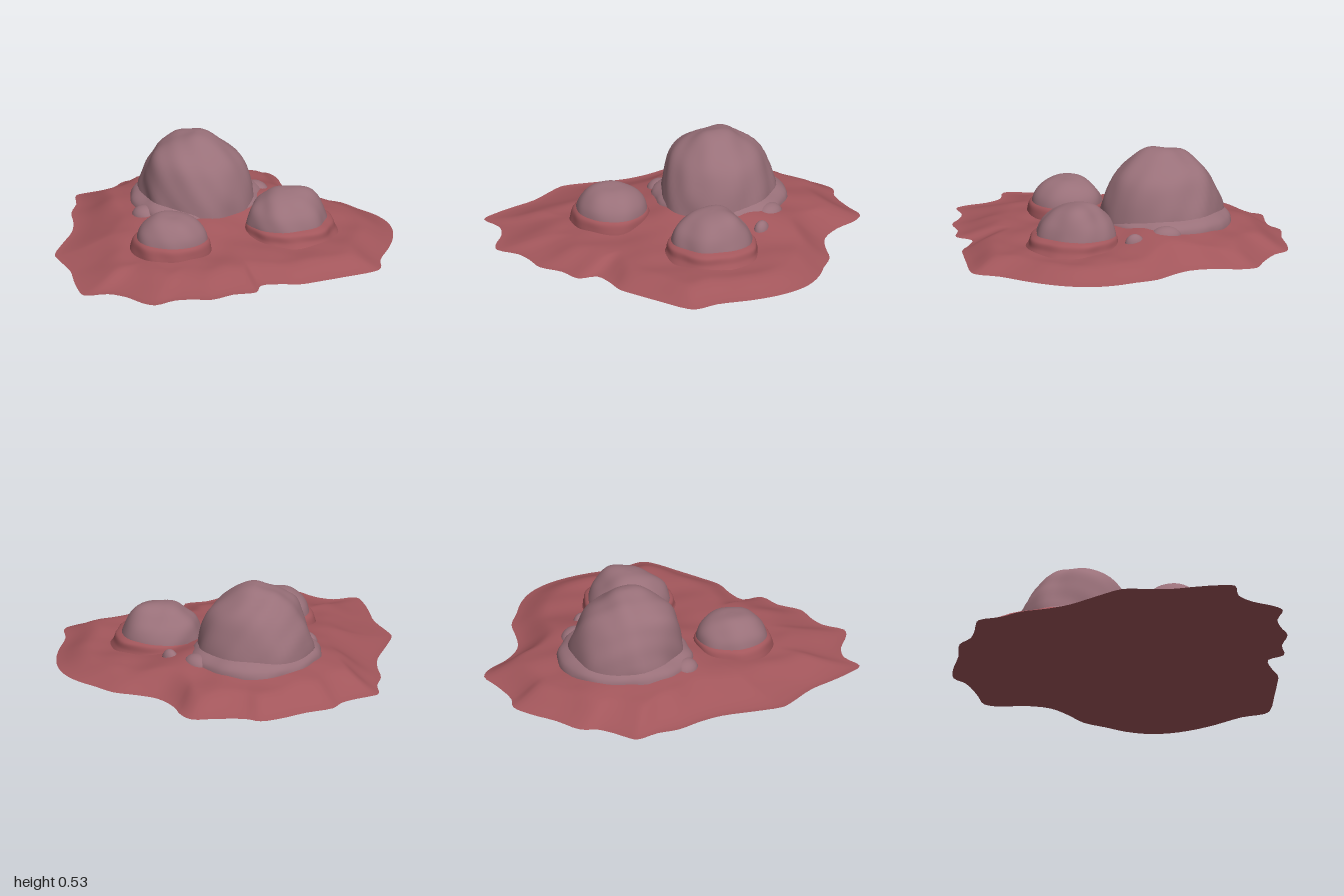
import * as THREE from 'three';
import { mergeVertices } from 'three/addons/utils/BufferGeometryUtils.js';

const red = new THREE.MeshStandardMaterial({ color: 0xa2565b });
red.name = 'raw red';
const mauve = new THREE.MeshStandardMaterial({ color: 0x997079 });
mauve.name = 'dull mauve';

// Ragged rim of the patch, as x, z pairs
const RIM = [
  0.09, -0.93, 0.25, -0.9, 0.42, -0.89, 0.53, -0.86, 0.58, -0.78, 0.72, -0.68, 0.82, -0.62,
  0.83, -0.53, 0.79, -0.4, 0.79, -0.25, 0.85, -0.14, 0.93, -0.03, 0.96, 0.1, 0.99, 0.22,
  0.99, 0.35, 0.95, 0.47, 0.88, 0.58, 0.79, 0.68, 0.66, 0.8, 0.59, 0.91, 0.54, 0.93,
  0.35, 0.91, 0.2, 0.89, 0.09, 0.87, 0, 0.81, -0.1, 0.77, -0.18, 0.84, -0.3, 0.8,
  -0.44, 0.8, -0.53, 0.74, -0.62, 0.7, -0.75, 0.7, -0.79, 0.64, -0.82, 0.51, -0.88, 0.42,
  -1, 0.37, -0.98, 0.27, -0.93, 0.15, -0.87, 0.02, -0.83, -0.18, -0.81, -0.23, -0.69, -0.34,
  -0.55, -0.46, -0.47, -0.57, -0.4, -0.7, -0.31, -0.79, -0.24, -0.9, -0.17, -0.9, -0.1, -0.89, 0, -0.89,
];

const bell = (d, r) => Math.exp(-(d * d) / (r * r));
const ripple = (x, y, z) =>
  Math.sin(17 * x + 9 * z + 1) * Math.sin(15 * z - 7 * x + 11 * y) +
  0.5 * Math.sin(31 * x + 2 + 13 * y) * Math.sin(29 * z + 19 * y);

// Height of the patch at a point that lies d inside the rim
function patchHeight(x, z, d) {
  const rise = THREE.MathUtils.smoothstep(d, -0.03, 0.2 + 0.3 * Math.max(0, -x));
  const swell = 0.072 + 0.12 * bell(Math.hypot(x - 0.12, z + 0.25), 0.42) +
    0.03 * bell(Math.hypot(x - 0.52, z + 0.1), 0.16);
  return d < 1e-4 ? 0.004 : rise * (swell + 0.007 * ripple(x * 0.7, 0, z * 0.7));
}

// Disc of rings that follow the rim; up = true for the top, false for the underside
function disc(rings, up) {
  const pts = [];
  for (let i = 0; i < RIM.length; i += 2) pts.push(new THREE.Vector3(RIM[i], 0, RIM[i + 1]));
  const rim = new THREE.CatmullRomCurve3(pts, true, 'centripetal').getPoints(150).slice(0, 150);
  const n = rim.length, pos = [], idx = [];
  for (let i = 0; i <= rings; i++) {
    const s = i / rings;
    rim.forEach((p) => {
      const x = p.x * s, z = p.z * s;
      pos.push(x, up ? patchHeight(x, z, (1 - s) * p.length()) : 0, z);
    });
  }
  for (let i = 0; i < rings; i++) {
    for (let j = 0; j < n; j++) {
      const k = (j + 1) % n;
      const a = i * n + j, b = i * n + k, c = (i + 1) * n + j, d = (i + 1) * n + k;
      if (up) idx.push(a, d, c, a, b, d);
      else idx.push(a, c, d, a, d, b);
    }
  }
  const g = new THREE.BufferGeometry();
  g.setAttribute('position', new THREE.Float32BufferAttribute(pos, 3));
  g.setIndex(idx);
  const out = mergeVertices(g);
  out.computeVertexNormals();
  return out;
}

// Round mound from a profile (bottom to top), roughened and pushed by bumps [x, y, z, radius, amount]
function mound({ name, mat, at, profile, stretch = 1, rough = 0.008, bumps = [] }) {
  const curve = new THREE.SplineCurve(profile.map(([r, y]) => new THREE.Vector2(r, y)));
  let g = new THREE.LatheGeometry(curve.getPoints(24).map((p) => new THREE.Vector2(Math.max(0, p.x), p.y)), 56);
  g.deleteAttribute('uv');
  g.deleteAttribute('normal');
  g = mergeVertices(g, 1e-4);
  const p = g.attributes.position, v = new THREE.Vector3(), dir = new THREE.Vector3();
  for (let i = 0; i < p.count; i++) {
    v.fromBufferAttribute(p, i);
    v.z *= stretch;
    dir.set(v.x, Math.max(0, v.y - 0.13), v.z).normalize();
    let push = rough * ripple(v.x + at[0], v.y, v.z + at[1]);
    for (const [x, y, z, r, amount] of bumps) {
      push += amount * bell(Math.hypot(v.x + at[0] - x, v.y - y, v.z + at[1] - z), r);
    }
    v.addScaledVector(dir, push);
    p.setXYZ(i, v.x + at[0], v.y, v.z + at[1]);
  }
  g.computeVertexNormals();
  const mesh = new THREE.Mesh(g, mat);
  mesh.name = name;
  return mesh;
}

export function createModel() {
  const model = new THREE.Group();
  model.name = 'lumpyPatch';

  // Spread patch with a flat underside
  const top = new THREE.Mesh(disc(36, true), red);
  top.name = 'patchTop';
  const under = new THREE.Mesh(disc(1, false), red);
  under.name = 'patchUnderside';
  model.add(top, under);

  // Large lump and the collar around its foot
  model.add(mound({
    name: 'largeLump', mat: mauve, at: [0.13, -0.25], stretch: 1.08, rough: 0.009,
    profile: [[0.32, 0.08], [0.308, 0.2], [0.28, 0.3], [0.235, 0.39], [0.16, 0.465], [0.08, 0.512], [0, 0.522]],
    bumps: [[-0.1, 0.4, -0.22, 0.13, 0.035], [0.3, 0.43, -0.25, 0.12, -0.02]],
  }));
  model.add(mound({
    name: 'largeLumpCollar', mat: mauve, at: [0.13, -0.25], rough: 0.01,
    profile: [[0.375, 0.07], [0.368, 0.13], [0.345, 0.165], [0.29, 0.2]],
    bumps: [[0.12, 0.15, 0.13, 0.25, -0.04], [0.35, 0.15, -0.54, 0.15, 0.02]],
  }));

  // Pale patches that break through beside the large lump
  [[-0.22, -0.23, 0.07, 0.08, 0.165], [0.475, -0.19, 0.07, 0.09, 0.175], [0.525, 0, 0.04, 0.055, 0.157]].forEach(([x, z, rx, rz, y]) => {
    const m = new THREE.Mesh(new THREE.SphereGeometry(1, 20, 12), mauve);
    m.name = 'palePatch';
    m.scale.set(rx, 0.06, rz);
    m.position.set(x, y - 0.06, z);
    model.add(m);
  });

  // Two small lumps, each in a red skirt
  model.add(mound({
    name: 'leftSmallLump', mat: mauve, at: [0.37, 0.3], rough: 0.009,
    profile: [[0.228, 0.09], [0.22, 0.15], [0.19, 0.215], [0.13, 0.268], [0.06, 0.292], [0, 0.3]],
    bumps: [[0.33, 0.31, 0.23, 0.09, 0.022], [0.51, 0.27, 0.33, 0.09, 0.025]],
  }));
  model.add(mound({
    name: 'leftSkirt', mat: red, at: [0.38, 0.315], rough: 0.009,
    profile: [[0.275, 0.05], [0.25, 0.09], [0.238, 0.13], [0.2, 0.15]],
  }));
  model.add(mound({
    name: 'rightSmallLump', mat: mauve, at: [-0.31, 0.18], rough: 0.006,
    profile: [[0.2, 0.08], [0.194, 0.14], [0.174, 0.19], [0.13, 0.237], [0.07, 0.266], [0, 0.275]],
  }));
  model.add(mound({
    name: 'rightSkirt', mat: red, at: [-0.315, 0.18], rough: 0.007,
    profile: [[0.228, 0.03], [0.218, 0.09], [0.206, 0.13], [0.175, 0.15]],
  }));
  return model;
}
